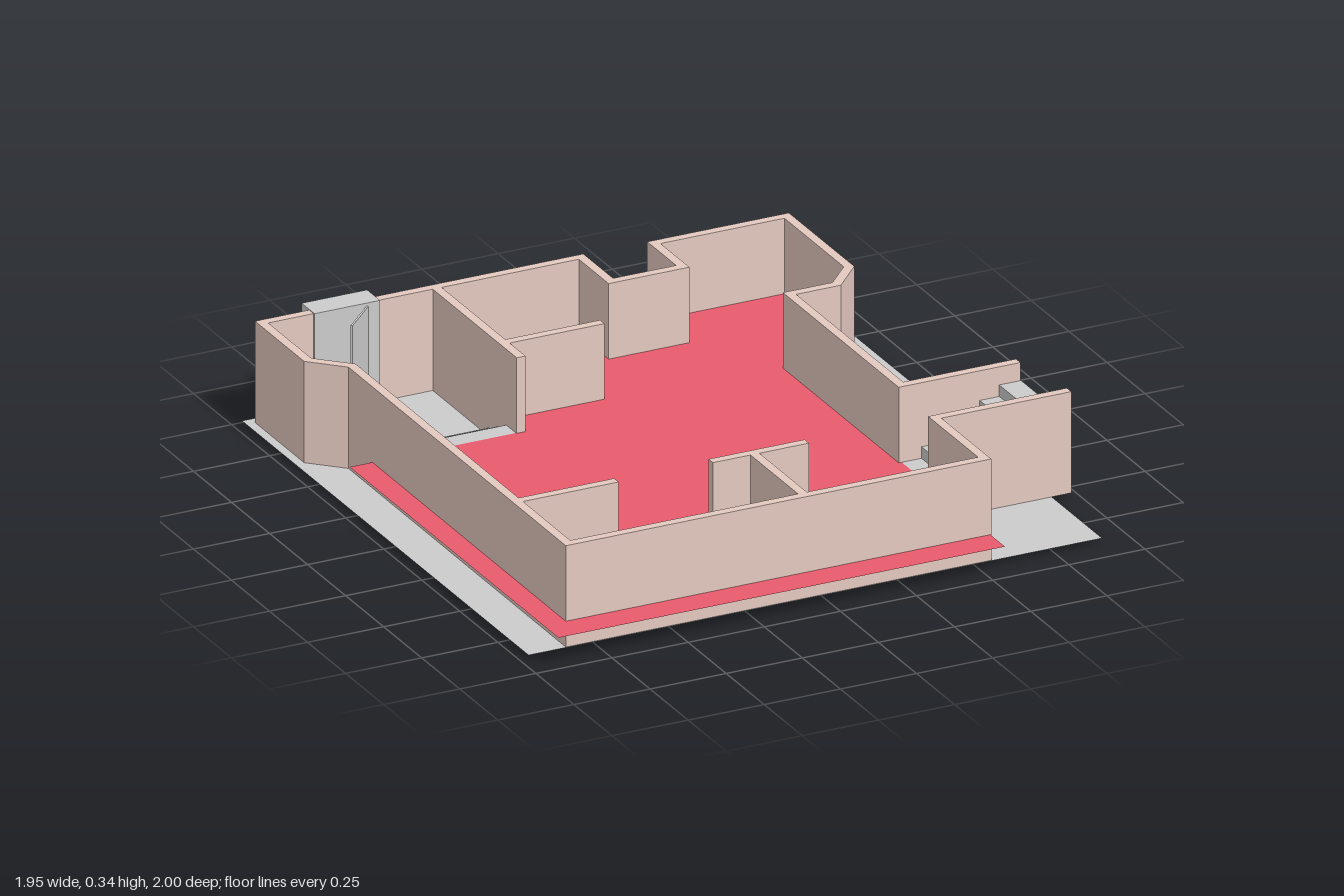
import * as THREE from 'three';

const BASE = 0.017, TOP = 0.343, FLOOR = 0.1, THICK = 0.029;

const grey = new THREE.MeshStandardMaterial({ color: 0xcccccc, side: THREE.DoubleSide });
const plaster = new THREE.MeshStandardMaterial({ color: 0xe4c9c0 });
const carpet = new THREE.MeshStandardMaterial({ color: 0xe85b6d, side: THREE.DoubleSide });

function add(parent, name, geometry, material) {
  const mesh = new THREE.Mesh(geometry, material);
  mesh.name = name;
  parent.add(mesh);
  return mesh;
}

// Box given by its lower and upper corners
function box(x0, y0, z0, x1, y1, z1) {
  return new THREE.BoxGeometry(x1 - x0, y1 - y0, z1 - z0)
    .translate((x0 + x1) / 2, (y0 + y1) / 2, (z0 + z1) / 2);
}

// Plan outline of [x, z] points as a shape that lies flat after rotation
const planShape = pts => new THREE.Shape(pts.map(([x, z]) => new THREE.Vector2(x, -z)));

// Upright wall of even thickness along a plan path, with mitred corners
function wall(path) {
  const p = path.map(([x, z]) => new THREE.Vector2(x, z));
  const normal = i => {
    const d = p[i + 1].clone().sub(p[i]).normalize();
    return new THREE.Vector2(-d.y, d.x);
  };
  const sides = [[], []];
  p.forEach((q, i) => {
    const a = normal(Math.max(i - 1, 0));
    const b = normal(Math.min(i, p.length - 2));
    const m = a.clone().add(b).normalize();
    m.multiplyScalar(THICK / 2 / m.dot(a));
    sides[0].push([q.x + m.x, q.y + m.y]);
    sides[1].unshift([q.x - m.x, q.y - m.y]);
  });
  return new THREE.ExtrudeGeometry(planShape([...sides[0], ...sides[1]]),
    { depth: TOP - BASE, bevelEnabled: false }).rotateX(-Math.PI / 2).translate(0, BASE, 0);
}

export function createModel() {
  const model = new THREE.Group();
  model.name = 'house';

  // Ground slab
  add(model, 'ground', new THREE.PlaneGeometry(1.883, 1.884).rotateX(-Math.PI / 2)
    .translate(-0.035, BASE - 0.001, -0.037), grey);

  // Raised floor, stepping round the entrance room
  add(model, 'raisedFloor', new THREE.ShapeGeometry(planShape([
    [-0.926, 1], [0.54, 1], [0.54, -0.373], [0.796, -0.373],
    [0.796, -0.946], [-0.36, -0.946], [-0.36, -0.373], [-0.926, -0.373],
  ])).rotateX(-Math.PI / 2).translate(0, FLOOR, 0), carpet);

  // Outer wall, from one side of the stair opening round to the other
  add(model, 'outerWall', wall([
    [0.93, 0.307], [0.545, 0.307], [0.545, -0.426], [0.7, -0.426], [0.788, -0.521],
    [0.788, -0.931], [0.352, -0.931], [0.352, -0.741], [0.116, -0.741], [0.116, -0.937],
    [-0.934, -0.935], [-0.934, -0.632], [-0.836, -0.537], [-0.839, 0.889],
    [0.529, 0.889], [0.529, 0.561], [0.97, 0.561],
  ]), plaster);

  // Inner partitions
  [
    [[-0.364, -0.925], [-0.364, -0.37]],
    [[-0.355, -0.489], [-0.038, -0.489]],
    [[-0.83, 0.548], [-0.51, 0.548]],
    [[-0.2, 0.548], [0.115, 0.548]],
    [[-0.062, 0.555], [-0.062, 0.88]],
  ].forEach((path, i) => add(model, 'partition' + (i + 1), wall(path), plaster));

  // Steps from the entrance room up to the raised floor
  [-0.556, -0.497, -0.439].forEach((z, i) => {
    const y = BASE + (FLOOR - BASE) * (i + 1) / 3 - 0.001;
    add(model, 'innerStep' + (i + 1), box(-0.825, BASE, z, -0.376, y, -0.372), grey);
  });

  // Open stair climbing outward: a folded sheet of risers and treads
  const run = [0.605, 0.669, 0.733, 0.796, 0.86, 0.932];
  const rise = 0.037, t = 0.006;
  const upper = [[0.54, BASE], [0.54, FLOOR]];
  const lower = [[0.54 + t, BASE], [0.54 + t, FLOOR - t]];
  run.forEach((x, i) => {
    const y = FLOOR + rise * i;
    const last = i === run.length - 1;
    upper.push([x, y]);
    lower.push([last ? x : x + t, y - t]);
    if (!last) {
      upper.push([x, y + rise]);
      lower.push([x + t, y + rise - t]);
    }
  });
  const fold = new THREE.Shape([...upper, ...lower.reverse()].map(q => new THREE.Vector2(...q)));
  add(model, 'outerStair', new THREE.ExtrudeGeometry(fold, { depth: 0.226, bevelEnabled: false })
    .translate(0, 0, 0.322), grey);

  // Entrance surround with its sill
  add(model, 'doorSurround', box(-0.77, BASE + 0.003, -1, -0.555, TOP + 0.002, -0.915), grey);
  add(model, 'doorSill', box(-0.77, 0, -0.973, -0.555, 0.008, -0.893), grey);

  // Door standing ajar, hinged at its right edge
  const door = new THREE.Group();
  door.name = 'door';
  door.position.set(-0.597, 0, -0.914);
  door.rotation.y = Math.PI / 4;
  add(door, 'doorPanel', box(-0.146, BASE + 0.003, -0.003, 0, 0.335, 0.003), grey);
  for (const s of [-1, 1]) {
    add(door, 'handleStem', box(-0.138, 0.18, Math.min(0, s * 0.014), -0.132, 0.186, Math.max(0, s * 0.014)), grey);
    add(door, 'handleGrip', box(-0.138, 0.18, s * 0.014 - 0.003, -0.108, 0.186, s * 0.014 + 0.003), grey);
  }
  model.add(door);

  return model;
}
